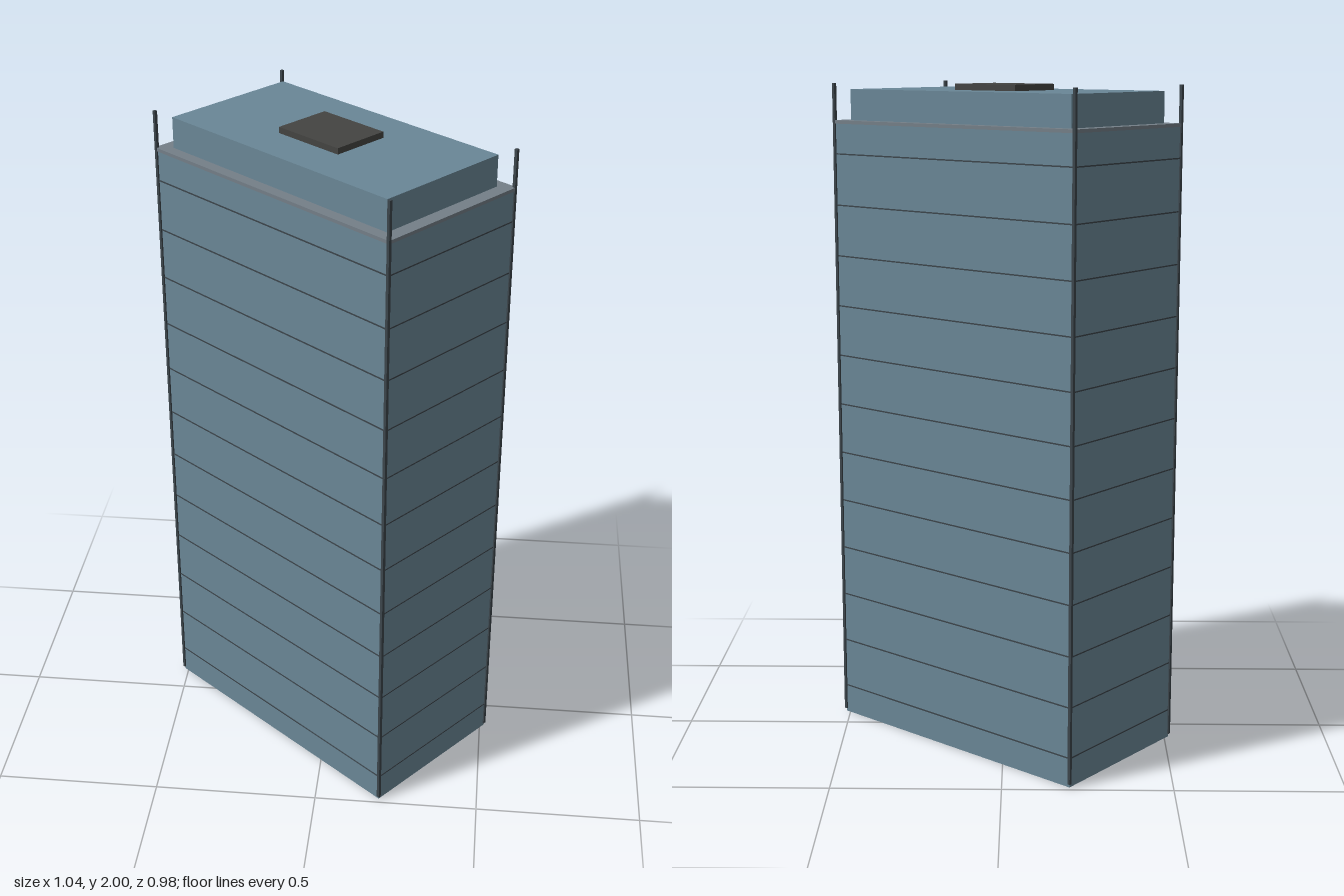
import * as THREE from 'three';

const W = 0.918, D = 0.498;       // tower footprint
const WALL_TOP = 1.88, FLOORS = 12, FIRST = 0.09, STEP = 0.1545;

export function createModel() {
  const model = new THREE.Group();
  model.name = 'officeTower';

  const paint = (color, side = THREE.FrontSide) => new THREE.MeshStandardMaterial({ color, side });
  const glass = paint(0x6a8797, THREE.DoubleSide);
  const roofGrey = paint(0x747f88);
  const dark = paint(0x3c454b);
  const black = paint(0x444442);

  const tower = new THREE.Group();
  tower.name = 'tower';
  tower.rotation.y = -0.686;
  model.add(tower);

  // Box standing on a given height
  const box = (name, w, h, d, x, y, z, material) => {
    const mesh = new THREE.Mesh(new THREE.BoxGeometry(w, h, d), material);
    mesh.name = name;
    mesh.position.set(x, y + h / 2, z);
    tower.add(mesh);
    return mesh;
  };

  // Curtain walls: four thin panes, open underneath
  for (let i = 0; i < 4; i++) {
    const long = i % 2 === 0;
    const wall = new THREE.Mesh(new THREE.PlaneGeometry(long ? W : D, WALL_TOP), glass);
    const angle = i * Math.PI / 2, reach = (long ? D : W) / 2;
    wall.name = 'glassWall';
    wall.rotation.y = angle;
    wall.position.set(Math.sin(angle) * reach, WALL_TOP / 2, Math.cos(angle) * reach);
    tower.add(wall);
  }

  // Floor slabs, whose edges show as thin lines on the walls
  for (let i = 0; i < FLOORS; i++) {
    box('floorSlab', W + 0.003, 0.004, D + 0.003, 0, FIRST - 0.002 + i * STEP, 0, dark);
  }

  // Slender corner posts rising past the roof
  for (const sx of [-1, 1]) {
    for (const sz of [-1, 1]) {
      box('cornerPost', 0.009, 1.99, 0.009, sx * W / 2, 0.01, sz * D / 2, dark);
    }
  }

  // Roof slab, set-back penthouse and plant box
  box('roofSlab', W + 0.008, 0.01, D + 0.008, 0, WALL_TOP, 0, roofGrey);
  box('penthouse', 0.843, 0.092, 0.435, 0, 1.89, 0, glass);
  box('roofPlant', 0.23, 0.018, 0.178, 0, 1.982, 0, black);

  return model;
}
